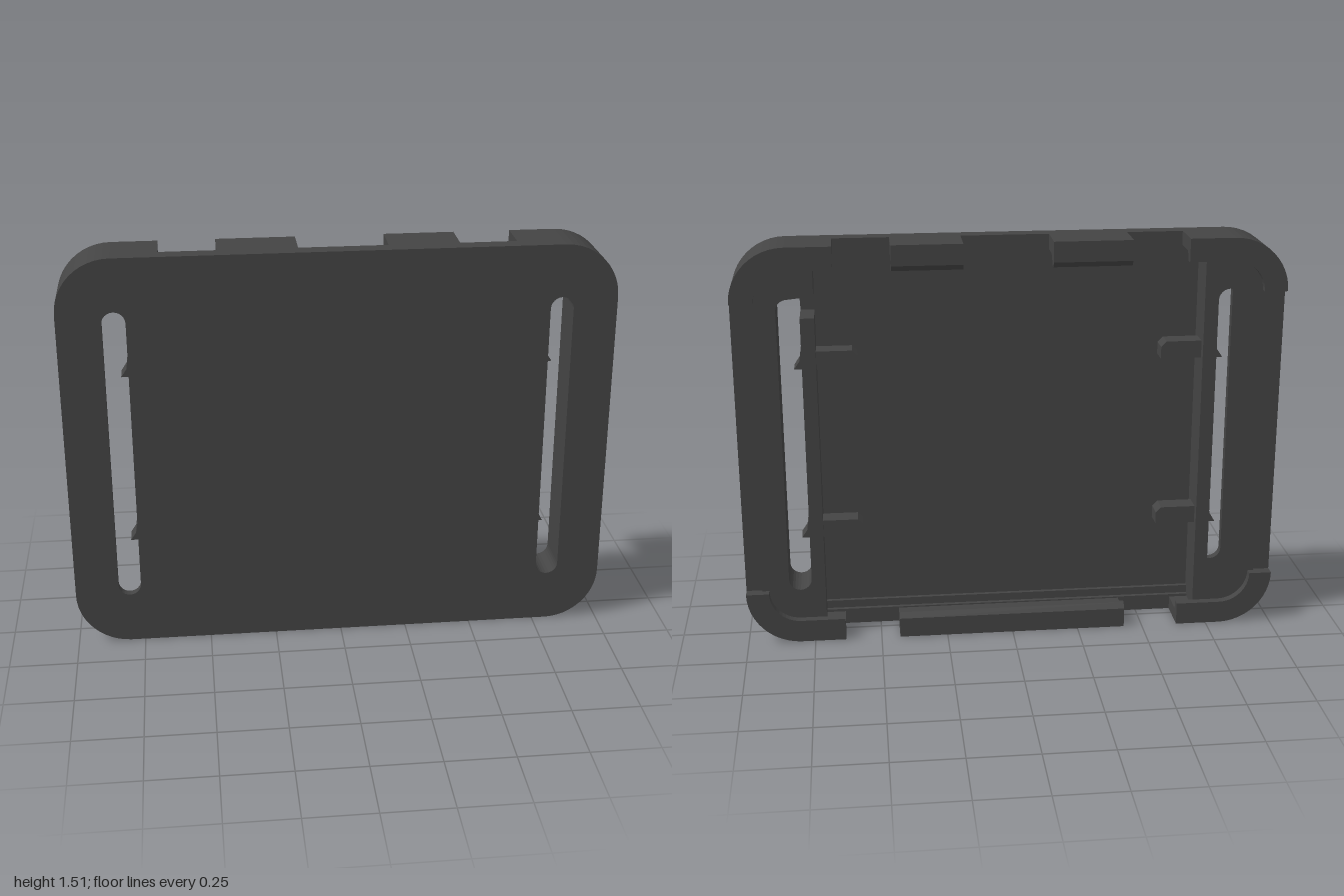
import * as THREE from 'three';

const W = 1, H = 0.755, R = 0.2;          // half width, half height, corner radius
const FRONT = 0.1, FLOOR = 0.07, RAIL = -0.06, BACK = -0.1;

const material = new THREE.MeshStandardMaterial({ color: 0x444444 });

// Points along an arc
function arc(cx, cy, r, a0, a1, n = 12) {
  return Array.from({ length: n + 1 }, (_, i) => {
    const a = a0 + (a1 - a0) * i / n;
    return [cx + r * Math.cos(a), cy + r * Math.sin(a)];
  });
}

const vectors = (pts, sx = 1, sy = 1) => pts.map(([x, y]) => new THREE.Vector2(x * sx, y * sy));

// Flat outline (mirrored by sx, sy) extruded between two z levels
function slab(name, pts, z0, z1, { holes = [], sx = 1, sy = 1 } = {}) {
  const shape = new THREE.Shape(vectors(pts, sx, sy));
  for (const h of holes) shape.holes.push(new THREE.Path(vectors(h, sx, sy)));
  const geo = new THREE.ExtrudeGeometry(shape, { depth: z1 - z0, bevelEnabled: false });
  geo.translate(0, 0, z0);
  const mesh = new THREE.Mesh(geo, material);
  mesh.name = name;
  return mesh;
}

// (z, y) profile extruded along x
function bar(name, profile, x0, x1, sy = 1) {
  const shape = new THREE.Shape(profile.map(([z, y]) => new THREE.Vector2(-z, y * sy)));
  const geo = new THREE.ExtrudeGeometry(shape, { depth: x1 - x0, bevelEnabled: false });
  geo.rotateY(Math.PI / 2).translate(x0, 0, 0);
  const mesh = new THREE.Mesh(geo, material);
  mesh.name = name;
  return mesh;
}

const Q = Math.PI / 2;
const corner = (t) => arc(W - R, H - R, R - t, 0, Q);

// Rounded-end strap slot
const slotX = 0.798, slotR = 0.042, slotY = 0.56;
const slot = [
  ...arc(slotX, slotY - slotR, slotR, 0, Math.PI),
  ...arc(slotX, -slotY + slotR, slotR, Math.PI, 2 * Math.PI),
];

export function createModel() {
  const group = new THREE.Group();
  group.name = 'strapHolder';
  const add = (...m) => group.add(...m);

  // Front plate with two slots
  const outline = [
    ...arc(W - R, H - R, R, 0, Q), ...arc(-W + R, H - R, R, Q, 2 * Q),
    ...arc(-W + R, -H + R, R, 2 * Q, 3 * Q), ...arc(W - R, -H + R, R, 3 * Q, 4 * Q),
  ];
  add(slab('frontPlate', outline, FLOOR, FRONT, {
    holes: [slot, slot.map(([x, y]) => [-x, y])],
  }));

  // Side rails; the left one has a small notch in its inner wall
  const inner = 0.705;
  const railOutline = [
    [inner, -H], ...arc(W - R, -H + R, R, -Q, 0), ...corner(0), [inner, H],
  ];
  const notchedSlot = [
    ...arc(slotX, slotY - slotR, slotR, 0, Math.PI),
  ];
  const notched = [
    [inner, -H], ...arc(W - R, -H + R, R, -Q, 0), ...corner(0), [inner, H], [inner, 0.57],
    [slotX, 0.56], ...arc(slotX, slotY - slotR, slotR, Q, 0),
    ...arc(slotX, -slotY + slotR, slotR, 0, -Math.PI),
    [slotX - slotR, 0.49], [inner, 0.49],
  ];
  add(slab('rightRail', railOutline, RAIL, FLOOR, { holes: [slot], sx: -1 }));
  add(slab('leftRail', notched, RAIL, FLOOR));

  // Hooked corners: outer wall with a wider lip at the back
  const x0 = 0.635;
  const cornerShape = (t) => [
    [x0, H], ...corner(0).reverse(), ...corner(t), [x0, H - t],
  ];
  for (const sx of [1, -1]) for (const sy of [1, -1]) {
    add(slab('cornerWall', cornerShape(0.05), RAIL, FLOOR, { sx, sy }));
    add(slab('cornerLip', cornerShape(0.06), -0.07, RAIL, { sx, sy }));
    add(slab('cornerLip', cornerShape(0.085), BACK, -0.07, { sx, sy }));
  }

  // Stepped low ledges along the top and bottom
  const ledge = [
    [FLOOR, H], [0.04, H], [0.04, H - 0.06], [0.055, H - 0.06], [0.055, H - 0.09], [FLOOR, H - 0.09],
  ];
  // Snap tabs with a sloped hook
  const tab = [
    [0.04, H], [BACK, H], [BACK, H - 0.075], [-0.085, H - 0.095],
    [-0.07, H - 0.095], [-0.035, H - 0.055], [0.04, H - 0.055],
  ];
  for (const sy of [1, -1]) add(bar('ledge', ledge, -inner, inner, sy));
  add(bar('topTab', tab, -0.43, -0.145));
  add(bar('topTab', tab, 0.175, 0.43));
  add(bar('bottomTab', tab, -0.43, 0.43, -1));

  // Small retaining clips reaching inward from the slots
  for (const sx of [1, -1]) for (const y of [0.295, -0.36]) {
    const clip = [
      [0.555, y], [0.785, y], [0.765, y + 0.03], [0.76, y + 0.065], [0.575, y + 0.065], [0.555, y + 0.045],
    ];
    add(slab('retainingClip', clip, -0.032, 0.04, { sx }));
  }

  group.position.y = H;
  const root = new THREE.Group();
  root.name = 'model';
  root.add(group);
  return root;
}
